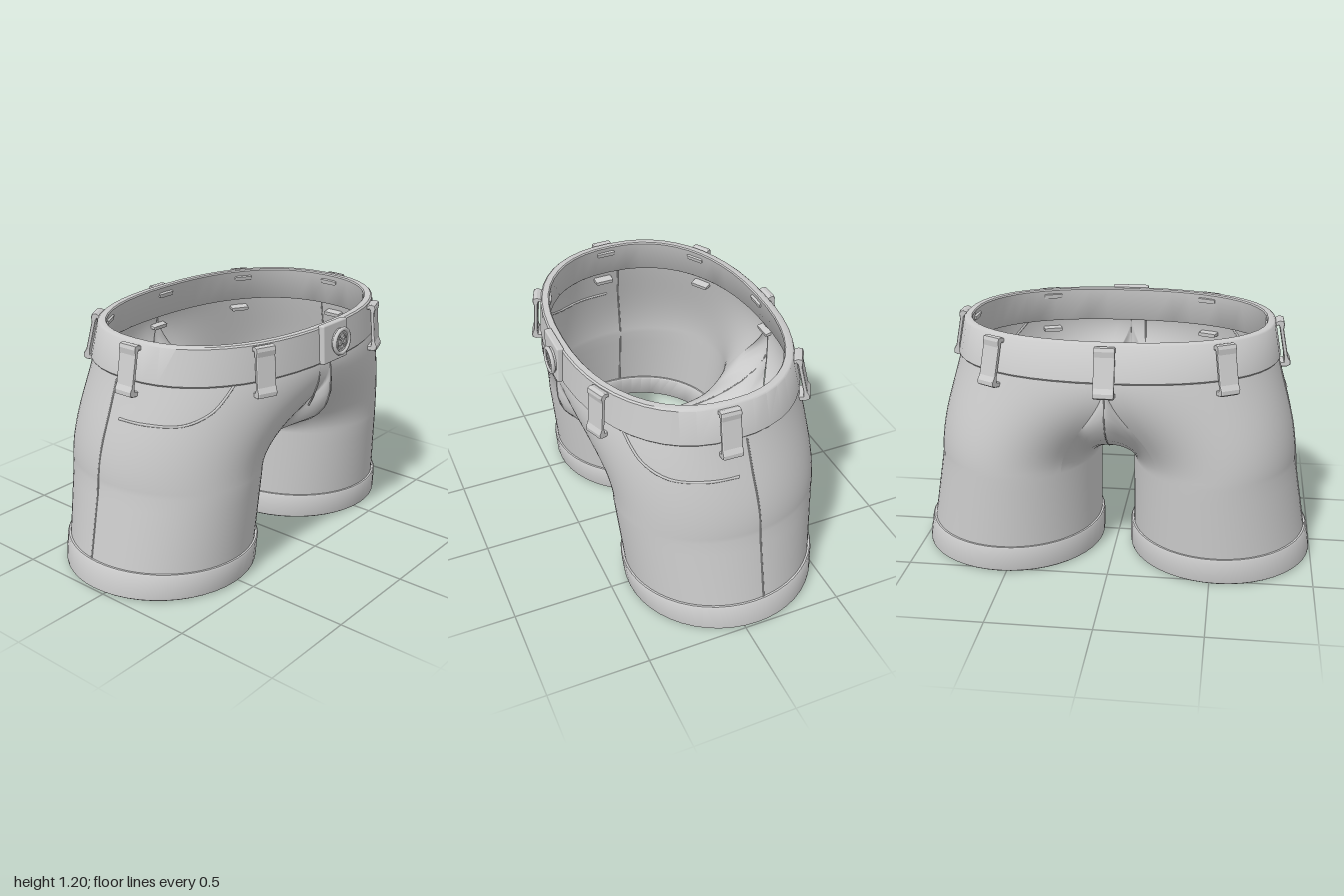
import * as THREE from 'three';
import { mergeGeometries, mergeVertices, toCreasedNormals } from 'three/addons/utils/BufferGeometryUtils.js';
import { RoundedBoxGeometry } from 'three/addons/geometries/RoundedBoxGeometry.js';

const V = (x, y, z) => new THREE.Vector3(x, y, z);
const lerp = THREE.MathUtils.lerp;
const rad = THREE.MathUtils.degToRad;
const material = new THREE.MeshStandardMaterial({ color: 0xcccccc });
const clothMaterial = new THREE.MeshStandardMaterial({ color: 0xcccccc, side: THREE.DoubleSide });

// Grid surface from fn(u, v); outside is where v runs up and u runs from +x to +z
function loft(fn, nu, nv) {
  const pos = [], idx = [];
  for (let i = 0; i <= nu; i++)
    for (let j = 0; j <= nv; j++) pos.push(...fn(i / nu, j / nv).toArray());
  for (let i = 0; i < nu; i++)
    for (let j = 0; j < nv; j++) {
      const a = i * (nv + 1) + j, b = a + nv + 1;
      idx.push(a, a + 1, b, b, a + 1, b + 1);
    }
  const g = new THREE.BufferGeometry();
  g.setAttribute('position', new THREE.Float32BufferAttribute(pos, 3));
  g.setIndex(idx);
  return g;
}

// Waist outline: a slightly squared oval that narrows upward
function waist(phi, y, off = 0) {
  const t = (y - 1.02) / 0.17, c = Math.cos(phi), s = Math.sin(phi);
  const bow = (k) => Math.sign(k) * Math.pow(Math.abs(k), 0.87);
  const rz = s > 0 ? lerp(0.56, 0.55, t) : lerp(0.575, 0.53, t);
  return V(bow(c) * (lerp(0.8, 0.767, t) + off), y, bow(s) * (rz + off));
}

// Left leg outline below the crotch
function legRing(theta, y, off = 0) {
  const t = y / 0.5;
  return V(
    lerp(0.5365, 0.494, t) + Math.cos(theta) * (lerp(0.4485, 0.406, t) + off), y,
    lerp(-0.0625, -0.0475, t) + Math.sin(theta) * (lerp(0.4625, 0.4975, t) + off));
}

// Centre seam from front waist, under the crotch, to back waist
const seam = new THREE.CatmullRomCurve3([
  [1.03, 0.55], [0.89, 0.56], [0.78, 0.535], [0.69, 0.45], [0.615, 0.26], [0.585, -0.02],
  [0.61, -0.28], [0.68, -0.46], [0.77, -0.56], [0.88, -0.595], [1.03, -0.56],
].map(([y, z]) => V(0, y, z)));

const SPLIT = rad(130); // leg angle where the waist edge meets the centre seam

// Upper left leg: each column rises from the leg ring to the waist or to the seam
function upper(theta, t) {
  const low = legRing(theta, 0.5);
  let top, c2;
  if (Math.abs(theta) <= SPLIT) {
    const phi = (theta / SPLIT) * Math.PI / 2;
    top = waist(phi, 1.03, -0.012);
    c2 = waist(phi, 1.03, 0.012 + 0.02 * Math.abs(Math.sin(phi)));
    c2.x += 0.018 * Math.cos(phi);
    c2.y = 0.85;
  } else {
    const s = (theta - SPLIT) / (2 * Math.PI - 2 * SPLIT);
    top = seam.getPointAt(THREE.MathUtils.clamp(s, 0, 1));
    const w = Math.min(1, Math.min(s, 1 - s) * 5);
    c2 = V(low.x * 0.65 * w, lerp(0.85, top.y, w), top.z + (1 - w) * (s < 0.5 ? 0.02 : -0.035));
  }
  const c1 = V(low.x, lerp(0.5, top.y, 0.35), low.z);
  return new THREE.CubicBezierCurve3(low, c1, c2, top).getPoint(t);
}

function half(u, v) {
  const theta = -SPLIT + u * 2 * Math.PI;
  return v < 0.25 ? legRing(theta, lerp(0.02, 0.5, v * 4)) : upper(theta, (v - 0.25) / 0.75);
}

// Closed [offset, y] profile carried around an outline
function sweep(outline, profile, mirror = 1) {
  const n = profile.length;
  const g = loft((u, v) => {
    const [off, y] = profile[Math.round(v * n) % n];
    const p = outline(mirror * u * Math.PI * 2, y, off);
    if (mirror < 0) { p.x *= -1; }
    return p;
  }, 48, n);
  return g;
}

function createModel() {
  const root = new THREE.Group();
  const add = (name, geometry, mat = material, parent = root) => {
    const m = new THREE.Mesh(geometry, mat);
    m.name = name;
    parent.add(m);
    return m;
  };
  const cord = (name, points, r) =>
    add(name, new THREE.TubeGeometry(new THREE.CatmullRomCurve3(points), 32, r, 5));
  const creased = (g, angle = 0.7) => toCreasedNormals(mergeVertices(g, 1e-4), angle);

  // Cloth body: two mirrored halves welded along the centre
  const mirrored = (u, v) => half(1 - u, v).multiply(V(-1, 1, 1));
  const body = mergeVertices(mergeGeometries([loft(half, 72, 28), loft(mirrored, 72, 28)]), 1e-4);
  body.computeVertexNormals();
  add('shortsBody', body, clothMaterial);

  // Waistband
  add('waistband', creased(sweep(waist, [
    [-0.008, 1.012], [0, 1.02], [0, 1.183], [-0.007, 1.19],
    [-0.036, 1.19], [-0.042, 1.183], [-0.042, 1.02], [-0.036, 1.012]])));
  const flap = add('waistbandOverlap', new RoundedBoxGeometry(0.19, 0.185, 0.035, 2, 0.008));
  flap.position.set(0.003, 1.107, 0.56);
  flap.rotation.x = -0.05;

  // Cuffs, pocket edges and side seams on both sides
  for (const side of [1, -1]) {
    const label = side > 0 ? 'left' : 'right';
    const flip = (p) => V(p.x * side, p.y, p.z);
    // The reversed angle keeps the mirrored cuff facing outward
    add(label + 'Cuff', creased(sweep(legRing, [
      [0.002, 0], [0.013, 0.008], [0.015, 0.02], [0.015, 0.128], [0.01, 0.136],
      [-0.008, 0.136], [-0.014, 0.128], [-0.014, 0.008], [-0.008, 0]], side)));
    cord(label + 'PocketEdge', [[70, 0.97], [65, 0.87], [58, 0.76], [43, 0.66], [20, 0.635], [1, 0.63]]
      .map(([deg, t]) => flip(upper(rad(deg), t))), 0.007);
    const low = [0.13, 0.3, 0.45].map((y) => legRing(rad(-6), y));
    const high = [0.1, 0.35, 0.6, 0.95].map((t) => upper(rad(-6), t));
    cord(label + 'SideSeam', [...low, ...high].map(flip), 0.004);
  }

  // Centre seam and fly stitching
  cord('centreSeam', seam.getSpacedPoints(24), 0.003);
  cord('flyEdge', [1, 0.85, 0.7, 0.55].map((t) => {
    const p = upper(SPLIT * 0.93, t);
    return V(-0.08, p.y, p.z);
  }), 0.004);

  // Belt loops: bent strips standing off the band
  const strip = new THREE.Shape([
    [-0.05, 0.09], [0.018, 0.106], [0.034, 0.1], [0.036, 0.085], [0.028, 0.06], [0.028, -0.08],
    [0.037, -0.105], [0.034, -0.122], [0.018, -0.127], [-0.05, -0.118], [-0.05, -0.104],
    [0.01, -0.106], [0.015, -0.08], [0.015, 0.075], [0.01, 0.088], [-0.05, 0.074],
  ].map(([x, y]) => new THREE.Vector2(x, y)));
  const loopGeometry = new THREE.ExtrudeGeometry(strip, {
    depth: 0.086, bevelThickness: 0.005, bevelSize: 0.003, bevelSegments: 1 });
  loopGeometry.translate(0, 0, -0.043).rotateY(-Math.PI / 2);
  const loops = { frontLeft: 60, frontRight: 120, left: 2, right: 178, backLeft: -50, backRight: -130, back: -90 };
  for (const [place, deg] of Object.entries(loops)) {
    const phi = rad(deg);
    const d = waist(phi + 0.05, 1.1).sub(waist(phi - 0.05, 1.1));
    const normal = V(d.z, 0, -d.x).normalize();
    const lean = waist(phi, 1.02).sub(waist(phi, 1.19)).dot(normal);
    const loop = add(place + 'BeltLoop', loopGeometry);
    loop.position.copy(waist(phi, 1.075));
    loop.rotation.set(-Math.atan(lean / 0.17), Math.atan2(normal.x, normal.z), 0, 'YXZ');
  }

  // Button with four holes, raised rim and crossed thread
  const button = new THREE.Group();
  button.name = 'button';
  button.position.set(0.03, 1.105, 0.572);
  root.add(button);
  const disc = new THREE.Shape().absarc(0, 0, 0.06, 0, Math.PI * 2);
  for (const [x, y] of [[1, 1], [-1, 1], [-1, -1], [1, -1]])
    disc.holes.push(new THREE.Path().absarc(x * 0.016, y * 0.016, 0.008, 0, Math.PI * 2, true));
  add('buttonDisc', new THREE.ExtrudeGeometry(disc, { depth: 0.022, bevelEnabled: false, curveSegments: 16 }), material, button);
  for (const [name, r, tube] of [['buttonRim', 0.058, 0.01], ['buttonInnerRing', 0.037, 0.004]])
    add(name, new THREE.TorusGeometry(r, tube, 8, 32), material, button).position.z = 0.021;
  for (const turn of [1, -1]) {
    const thread = add('buttonThread', new THREE.BoxGeometry(0.05, 0.008, 0.008), material, button);
    thread.position.z = 0.023;
    thread.rotation.z = turn * Math.PI / 4;
  }
  return root;
}

export { createModel };
